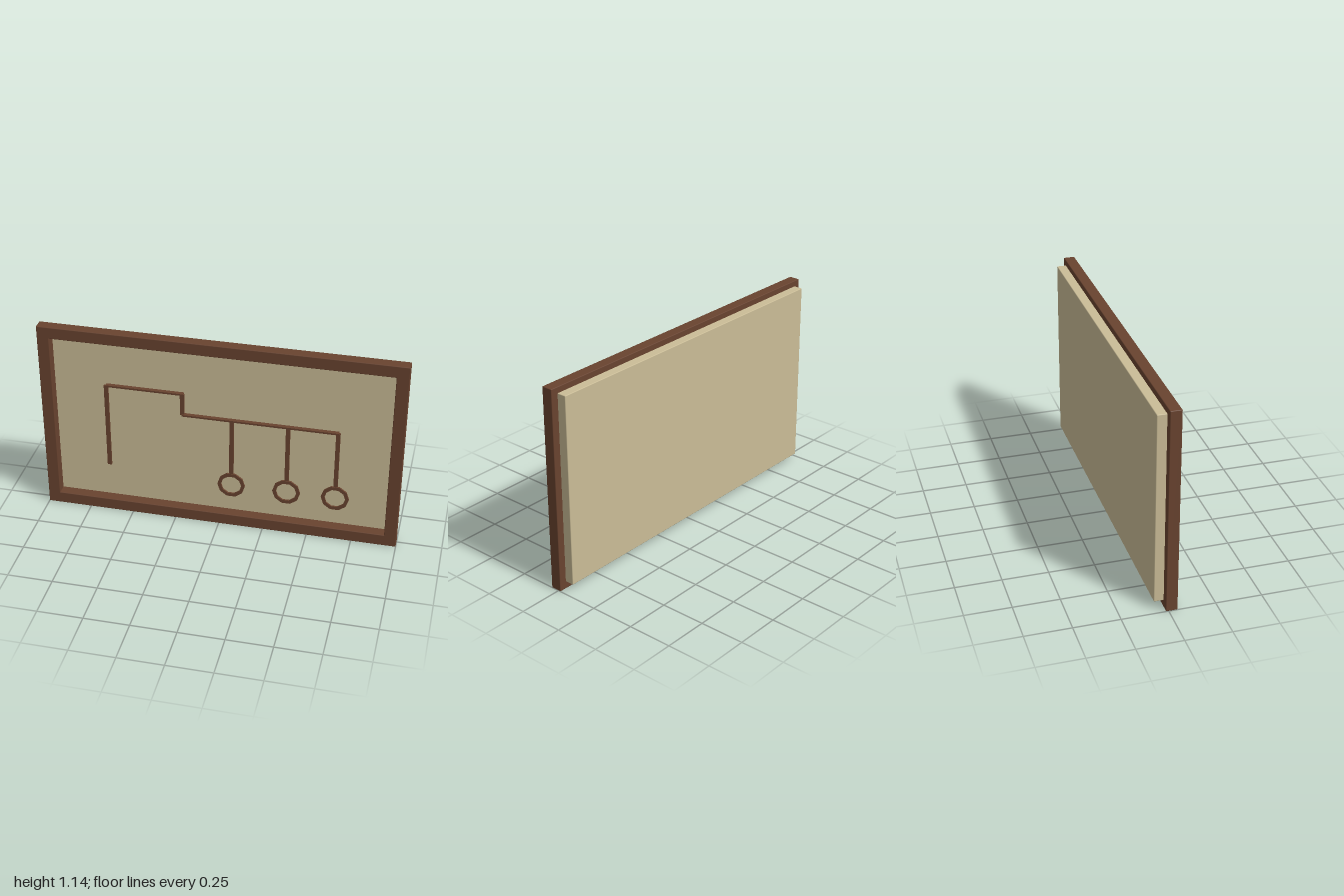
import * as THREE from 'three';
import { RoundedBoxGeometry } from 'three/addons/geometries/RoundedBoxGeometry.js';

export function createModel() {
  const model = new THREE.Group();
  model.name = 'framedPanel';

  const wood = new THREE.MeshStandardMaterial({ color: 0x69432f });
  wood.name = 'darkWood';
  const cream = new THREE.MeshStandardMaterial({ color: 0xcbbd97 });
  cream.name = 'creamPanel';

  function add(name, geometry, material, x, y, z) {
    const mesh = new THREE.Mesh(geometry, material);
    mesh.name = name;
    mesh.position.set(x, y, z);
    model.add(mesh);
    return mesh;
  }
  // Box with a narrow chamfer on every edge
  const chamferBox = (w, h, d, r) => new RoundedBoxGeometry(w, h, d, 1, r);

  const H = 1.14, BAR = 0.068, DEPTH = 0.062, FRAME_Z = 0.016;

  // Frame: two uprights and two rails that overlap at the corners
  for (const s of [-1, 1]) {
    const side = s > 0 ? 'left' : 'right';
    add(side + 'FrameUpright', chamferBox(BAR, H, DEPTH, 0.004), wood, s * (1 - BAR / 2), H / 2, FRAME_Z);
    add(s > 0 ? 'topFrameRail' : 'bottomFrameRail', chamferBox(2, BAR, DEPTH, 0.004), wood,
      0, H / 2 + s * (H / 2 - BAR / 2), FRAME_Z);
  }

  // Backing panel behind the frame
  add('backingPanel', chamferBox(1.92, 1.065, 0.054, 0.004), cream, 0, 0.575, -0.04);

  // Flat strips in front of the panel: [x, bottom, top]
  const uprights = [[-0.62, 0.32, 0.832], [-0.197, 0.702, 0.832],
    [0.075, 0.357, 0.702], [0.383, 0.357, 0.702], [0.652, 0.357, 0.702]];
  for (const [x, y0, y1] of uprights) {
    add('verticalStrip', new THREE.BoxGeometry(0.023, y1 - y0, 0.012), wood, x, (y0 + y1) / 2, 0.058);
  }
  // [start x, end x, y]
  for (const [x0, x1, y] of [[-0.62, -0.19, 0.832], [-0.2, 0.656, 0.702]]) {
    add('horizontalStrip', new THREE.BoxGeometry(x1 - x0, 0.01, 0.023), wood, (x0 + x1) / 2, y, 0.058);
  }

  // Ten-sided hanging rings
  const decagon = (r) => Array.from({ length: 10 }, (_, i) => {
    const a = i * Math.PI / 5;
    return new THREE.Vector2(r * Math.cos(a), r * Math.sin(a));
  });
  const ringShape = new THREE.Shape(decagon(0.077));
  ringShape.holes.push(new THREE.Path(decagon(0.057)));
  const ring = new THREE.ExtrudeGeometry(ringShape, { depth: 0.01, bevelEnabled: false });
  for (const x of [0.075, 0.383, 0.652]) add('hangingRing', ring, wood, x, 0.287, 0.058);

  return model;
}
